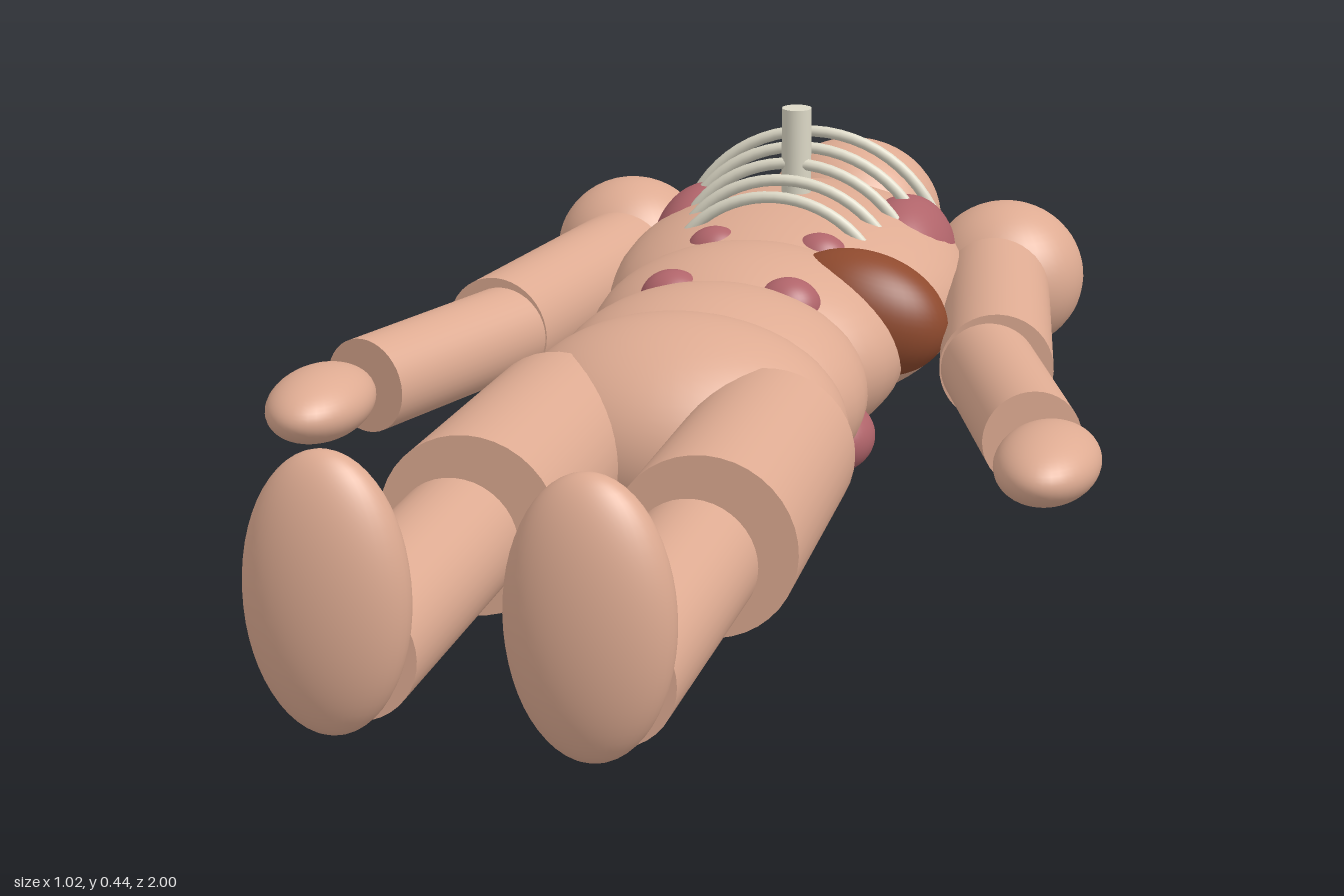
import * as THREE from 'three';

const CY = 0.198; // height of the body's long axis

export function createModel() {
  const model = new THREE.Group();
  const mat = (color) => new THREE.MeshStandardMaterial({ color });
  const skin = mat(0xdeab92), bone = mat(0xdcd8c6), tissue = mat(0xb0646a), liverMat = mat(0x8f4a2e);

  const add = (name, geometry, material, x, y, z) => {
    const mesh = new THREE.Mesh(geometry, material);
    mesh.name = name;
    mesh.position.set(x, y, z);
    model.add(mesh);
    return mesh;
  };
  const ellipsoid = (name, material, [x, y, z], [rx, ry, rz]) =>
    add(name, new THREE.SphereGeometry(1, 40, 28).scale(rx, ry, rz), material, x, y, z);

  // Limb segment lying in the horizontal plane, from a = [x, z] to b = [x, z]
  const limb = (name, a, b, ra, rb) => {
    const from = new THREE.Vector3(a[0], CY - 0.004, a[1]);
    const to = new THREE.Vector3(b[0], CY - 0.004, b[1]);
    const mid = from.clone().add(to).multiplyScalar(0.5);
    const mesh = add(name, new THREE.CylinderGeometry(rb, ra, from.distanceTo(to), 40), skin, mid.x, mid.y, mid.z);
    mesh.quaternion.setFromUnitVectors(new THREE.Vector3(0, 1, 0), to.sub(from).normalize());
  };

  // Head and trunk
  ellipsoid('head', skin, [0, 0.193, -0.87], [0.13, 0.12, 0.13]);
  ellipsoid('chest', skin, [0, 0.195, -0.475], [0.24, 0.135, 0.33]);
  ellipsoid('abdomen', skin, [0, 0.193, -0.22], [0.205, 0.13, 0.2]);
  ellipsoid('lowerAbdomen', skin, [0, 0.193, -0.02], [0.197, 0.13, 0.2]);
  ellipsoid('pelvis', skin, [0, 0.193, 0.12], [0.205, 0.135, 0.17]);

  // Mirrored limbs and paired organs
  for (const [side, s] of [['left', 1], ['right', -1]]) {
    ellipsoid(side + 'Shoulder', skin, [s * 0.268, 0.194, -0.63], [0.107, 0.103, 0.105]);
    limb(side + 'UpperArm', [s * 0.265, -0.57], [s * 0.33, -0.195], 0.072, 0.072);
    limb(side + 'Forearm', [s * 0.315, -0.21], [s * 0.418, 0.068], 0.06, 0.06);
    ellipsoid(side + 'Hand', skin, [s * 0.448, 0.193, 0.142], [0.062, 0.043, 0.1]);
    limb(side + 'Thigh', [s * 0.128, 0.18], [s * 0.133, 0.515], 0.1, 0.105);
    limb(side + 'Shin', [s * 0.133, 0.562], [s * 0.133, 0.895], 0.072, 0.072);
    ellipsoid(side + 'Foot', skin, [s * 0.133, 0.278, 0.946], [0.086, 0.148, 0.05]);

    ellipsoid(side + 'Lung', tissue, [s * 0.14, 0.222, -0.545], [0.072, 0.095, 0.12]);
    ellipsoid(side + 'Kidney', tissue, [s * 0.14, 0.115, -0.117], [0.05, 0.045, 0.06]);
    ellipsoid(side + 'UpperBowel', tissue, [s * 0.07, 0.281, -0.33], [0.04, 0.037, 0.035]);
    ellipsoid(side + 'LowerBowel', tissue, [s * 0.075, 0.275, -0.13], [0.042, 0.038, 0.04]);
  }

  // Single organs
  const liver = ellipsoid('liver', liverMat, [0.145, 0.238, -0.255], [0.112, 0.08, 0.07]);
  liver.rotation.z = -0.25;
  ellipsoid('spleen', tissue, [-0.165, 0.2, -0.24], [0.046, 0.04, 0.055]);

  // Rib hoops, shrinking towards the waist
  for (let i = 0; i < 5; i++) {
    add('rib' + (i + 1), new THREE.TorusGeometry(0.19 - i * 0.009, 0.008, 10, 64), bone, 0, CY, -0.603 + i * 0.058);
  }

  // Upright sternum post
  add('sternum', new THREE.CylinderGeometry(0.02, 0.02, 0.15, 24), bone, 0, 0.37, -0.495);

  return model;
}
